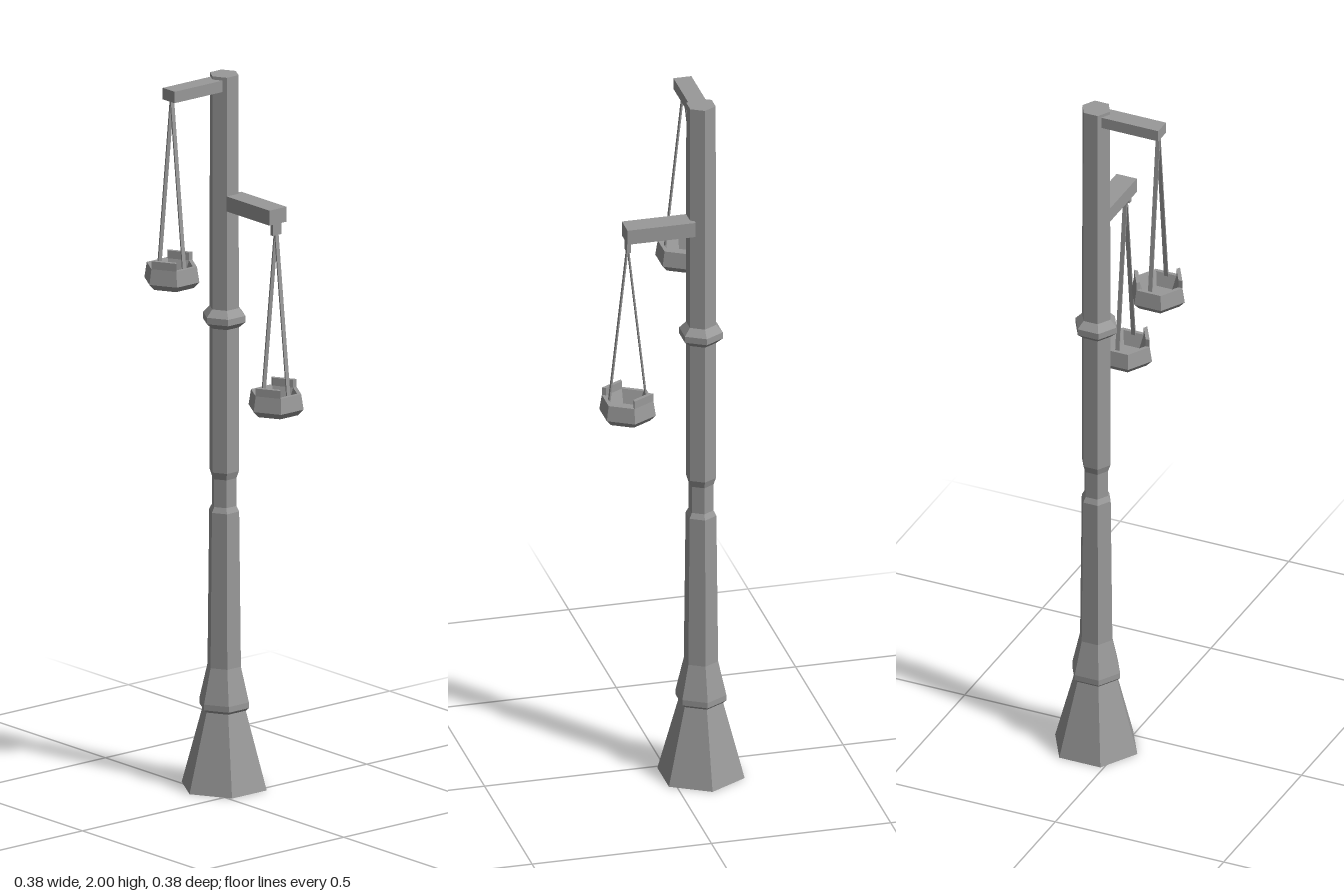
import * as THREE from 'three';

const material = new THREE.MeshStandardMaterial({ color: 0x999999, flatShading: true, side: THREE.DoubleSide });
const POST_X = 0.07, POST_Z = -0.085;

function add(parent, name, geometry, x = 0, y = 0, z = 0) {
  const mesh = new THREE.Mesh(geometry, material);
  mesh.name = name;
  mesh.position.set(x, y, z);
  parent.add(mesh);
  return mesh;
}

// Six-sided turned form with corners on the x axis
function hexLathe(profile) {
  const points = profile.map(([r, y]) => new THREE.Vector2(r, y));
  return new THREE.LatheGeometry(points, 6, Math.PI / 2);
}

// Raised rim piece along one of the six pan walls
function rimGeometry(startAngle) {
  const corner = (r, a) => new THREE.Vector2(r * Math.cos(a), r * Math.sin(a));
  const endAngle = startAngle + Math.PI / 3;
  const shape = new THREE.Shape([
    corner(0.072, startAngle), corner(0.072, endAngle),
    corner(0.06, endAngle), corner(0.06, startAngle),
  ]);
  const geometry = new THREE.ExtrudeGeometry(shape, { depth: 0.022, bevelEnabled: false });
  return geometry.rotateX(-Math.PI / 2);
}

// Pan hung by two thin straps; the origin is the underside of the pan
function hangingPan(name, hangHeight) {
  const group = new THREE.Group();
  group.name = name;
  add(group, 'pan', hexLathe([
    [0, 0], [0.063, 0], [0.079, 0.017], [0.072, 0.06], [0.06, 0.06], [0.046, 0.022], [0, 0.022],
  ]));
  // Two opposite walls stand higher than the rest
  for (const angle of [0, Math.PI]) add(group, 'raisedRim', rimGeometry(angle), 0, 0.06, 0);

  for (const side of [-1, 1]) {
    const top = new THREE.Vector3(0, hangHeight, 0);
    const bottom = new THREE.Vector3(0, 0.05, side * 0.052);
    const direction = top.clone().sub(bottom);
    const strap = add(group, 'strap', new THREE.BoxGeometry(0.012, direction.length(), 0.004));
    strap.position.copy(top).add(bottom).multiplyScalar(0.5);
    strap.rotation.x = Math.atan2(direction.z, direction.y);
  }
  return group;
}

export function createModel() {
  const model = new THREE.Group();
  model.name = 'hangingPanPost';

  // Post with flared foot, lower collar, narrow waist and upper collar; open underneath
  add(model, 'post', hexLathe([
    [0.122, 0], [0.062, 0.218], [0.071, 0.226], [0.071, 0.242], [0.048, 0.34], [0.043, 0.775],
    [0.035, 0.79], [0.035, 0.868], [0.042, 0.888], [0.042, 1.292], [0.061, 1.308], [0.061, 1.326],
    [0.042, 1.346], [0.041, 2], [0, 2],
  ]), POST_X, 0, POST_Z);

  // Arms
  add(model, 'upperArm', new THREE.BoxGeometry(0.185, 0.032, 0.05), -0.033, 1.975, POST_Z);
  add(model, 'lowerArm', new THREE.BoxGeometry(0.06, 0.042, 0.19), 0.079, 1.646, 0.035);
  add(model, 'lowerHook', new THREE.BoxGeometry(0.03, 0.035, 0.01), 0.079, 1.61, 0.122);

  // Pans
  const upper = hangingPan('upperPan', 0.525);
  upper.position.set(-0.114, 1.439, POST_Z);
  const lower = hangingPan('lowerPan', 0.515);
  lower.position.set(0.079, 1.092, 0.122);
  model.add(upper, lower);

  return model;
}
